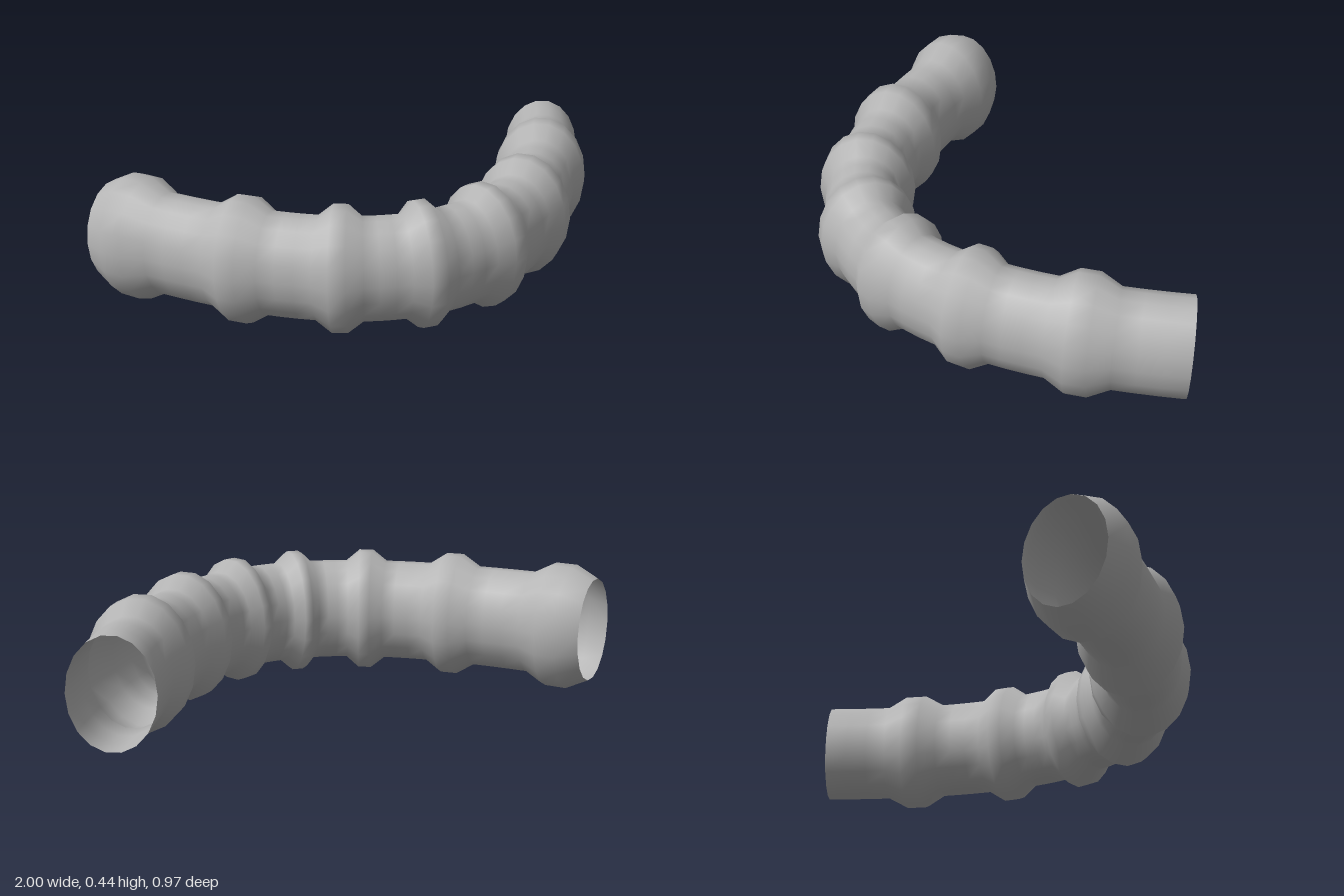
import * as THREE from 'three';

const RINGS = 42, SIDES = 18;

// Tube of oval cross-section swept along a flat parabola, swelling into seven ribs
function ribbedTubeGeometry() {
  const positions = [], index = [];
  const halfSpan = 0.88, depth = 0.733, apexZ = 0.313, baseY = 0.22;
  for (let i = 0; i <= RINGS; i++) {
    const t = i / RINGS, x = halfSpan * (2 * t - 1);
    const z = apexZ - depth * (x / halfSpan) ** 2;
    const slope = -2 * depth * x / halfSpan ** 2;
    const tangent = new THREE.Vector2(1, slope).normalize();
    const swell = 1 + 0.255 * Math.max(0, Math.sin(t * 14 * Math.PI));
    for (let j = 0; j < SIDES; j++) {
      const a = j / SIDES * Math.PI * 2;
      const side = 0.14 * swell * Math.cos(a), up = 0.183 * swell * Math.sin(a);
      positions.push(x + tangent.y * side, baseY + up, z - tangent.x * side);
      if (i < RINGS) {
        const k = (j + 1) % SIDES, p = i * SIDES, q = p + SIDES;
        index.push(p + j, p + k, q + j, p + k, q + k, q + j);
      }
    }
  }
  const geometry = new THREE.BufferGeometry();
  geometry.setAttribute('position', new THREE.Float32BufferAttribute(positions, 3));
  geometry.setIndex(index);
  geometry.computeVertexNormals();
  return geometry;
}

export function createModel() {
  const group = new THREE.Group();
  group.name = 'curvedPipe';
  // Open at both ends, so the inside shows too
  const grey = new THREE.MeshStandardMaterial({ color: 0xb4b4b4, side: THREE.DoubleSide });
  grey.name = 'grey';
  const tube = new THREE.Mesh(ribbedTubeGeometry(), grey);
  tube.name = 'ribbedTube';
  group.add(tube);
  return group;
}
